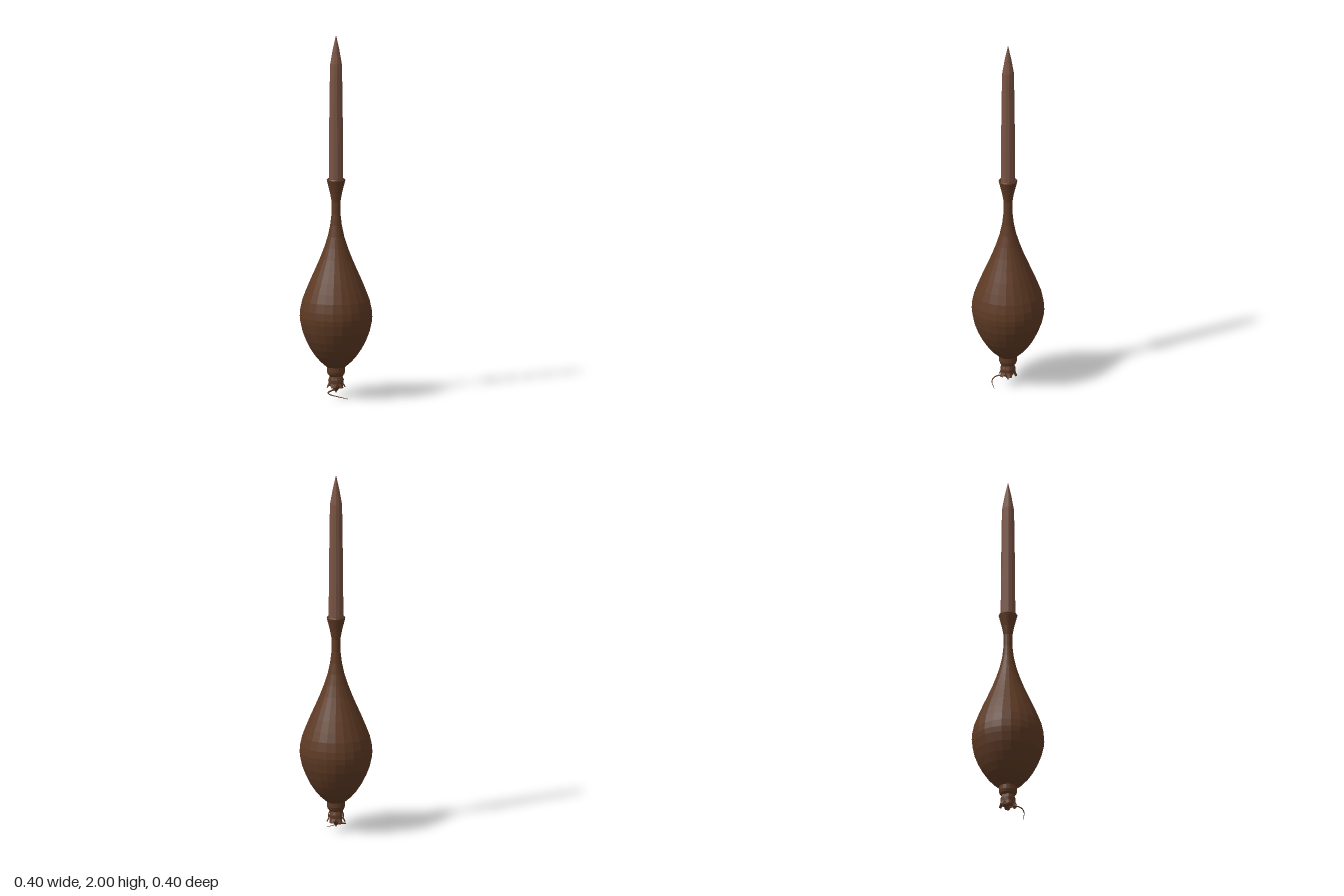
import * as THREE from 'three';

const mat = (name, color, side = THREE.FrontSide) => {
  const m = new THREE.MeshStandardMaterial({ color, side, flatShading: true });
  m.name = name;
  return m;
};

export function createModel() {
  const group = new THREE.Group();
  const bark = mat('dark brown', 0x5e3a24);
  const husk = mat('husk brown', 0x5e3a26, THREE.DoubleSide);
  const wax = mat('dusty brown', 0x7a5444);

  const add = (name, geometry, material, parent = group) => {
    const mesh = new THREE.Mesh(geometry, material);
    mesh.name = name;
    parent.add(mesh);
    return mesh;
  };
  const lathe = (points, sides) =>
    new THREE.LatheGeometry(points.map(([r, y]) => new THREE.Vector2(r, y)), sides);

  // Pear-shaped bulb, slender neck and flared cup
  add('bulb', lathe([
    [0, 0.165], [0.05, 0.17], [0.085, 0.2], [0.115, 0.235], [0.142, 0.275],
    [0.165, 0.32], [0.184, 0.37], [0.195, 0.42], [0.198, 0.45], [0.195, 0.49],
    [0.184, 0.54], [0.165, 0.59], [0.14, 0.65], [0.113, 0.71], [0.087, 0.77],
    [0.064, 0.83], [0.045, 0.89], [0.032, 0.95], [0.025, 1.01], [0.024, 1.08],
    [0.033, 1.13], [0.051, 1.2], [0.047, 1.207], [0.038, 1.2], [0.034, 1.16],
  ], 24), bark);

  // Tapered spike standing in the cup
  add('spike', lathe([
    [0, 1.14], [0.036, 1.14], [0.04, 1.21], [0.039, 1.4], [0.037, 1.57],
    [0.034, 1.78], [0.032, 1.84], [0.018, 1.92], [0, 2],
  ], 12), wax);

  // Collar and core under the bulb
  add('collar', lathe([
    [0, 0.1], [0.034, 0.118], [0.045, 0.13], [0.05, 0.145], [0.05, 0.175], [0, 0.185],
  ], 16), bark);
  add('core', lathe([[0, 0.028], [0.012, 0.045], [0.03, 0.06], [0.034, 0.09], [0.03, 0.125]], 10), bark);

  // Ring of curled sepals, each a tapering bent strip
  const sepals = new THREE.Group();
  sepals.name = 'sepals';
  group.add(sepals);
  const rows = [[0.034, 0.125, 0.014], [0.043, 0.1, 0.018], [0.042, 0.08, 0.018], [0.053, 0.058, 0.013]];
  for (let i = 0; i < 6; i++) {
    const g = new THREE.PlaneGeometry(1, 1, 2, rows.length - 1);
    const p = g.attributes.position;
    for (let k = 0; k < p.count; k++) {
      const [r, y, half] = rows[Math.floor(k / 3)];
      const side = (k % 3) - 1;
      p.setXYZ(k, side * half, y, r - Math.abs(side) * 0.006);
    }
    g.computeVertexNormals();
    add('sepal', g, husk, sepals).rotation.y = (i + 0.5) * Math.PI / 3;
  }

  // Thin curling tendril
  const path = new THREE.CatmullRomCurve3([
    [0, 0.05, 0], [0.002, 0.042, 0.035], [0.012, 0.036, 0.066],
    [0.04, 0.028, 0.072], [0.072, 0.02, 0.05], [0.1, 0.005, 0],
  ].map(v => new THREE.Vector3(...v)));
  const segments = 20, sides = 6;
  const tendril = new THREE.TubeGeometry(path, segments, 0.005, sides);
  const pos = tendril.attributes.position, v = new THREE.Vector3();
  for (let k = 0; k < pos.count; k++) {
    const t = Math.floor(k / (sides + 1)) / segments;
    const c = path.getPointAt(t);
    v.fromBufferAttribute(pos, k).sub(c).multiplyScalar(1 - 0.75 * t).add(c);
    pos.setXYZ(k, v.x, Math.max(v.y, 0), v.z);
  }
  add('tendril', tendril, husk);

  return group;
}
